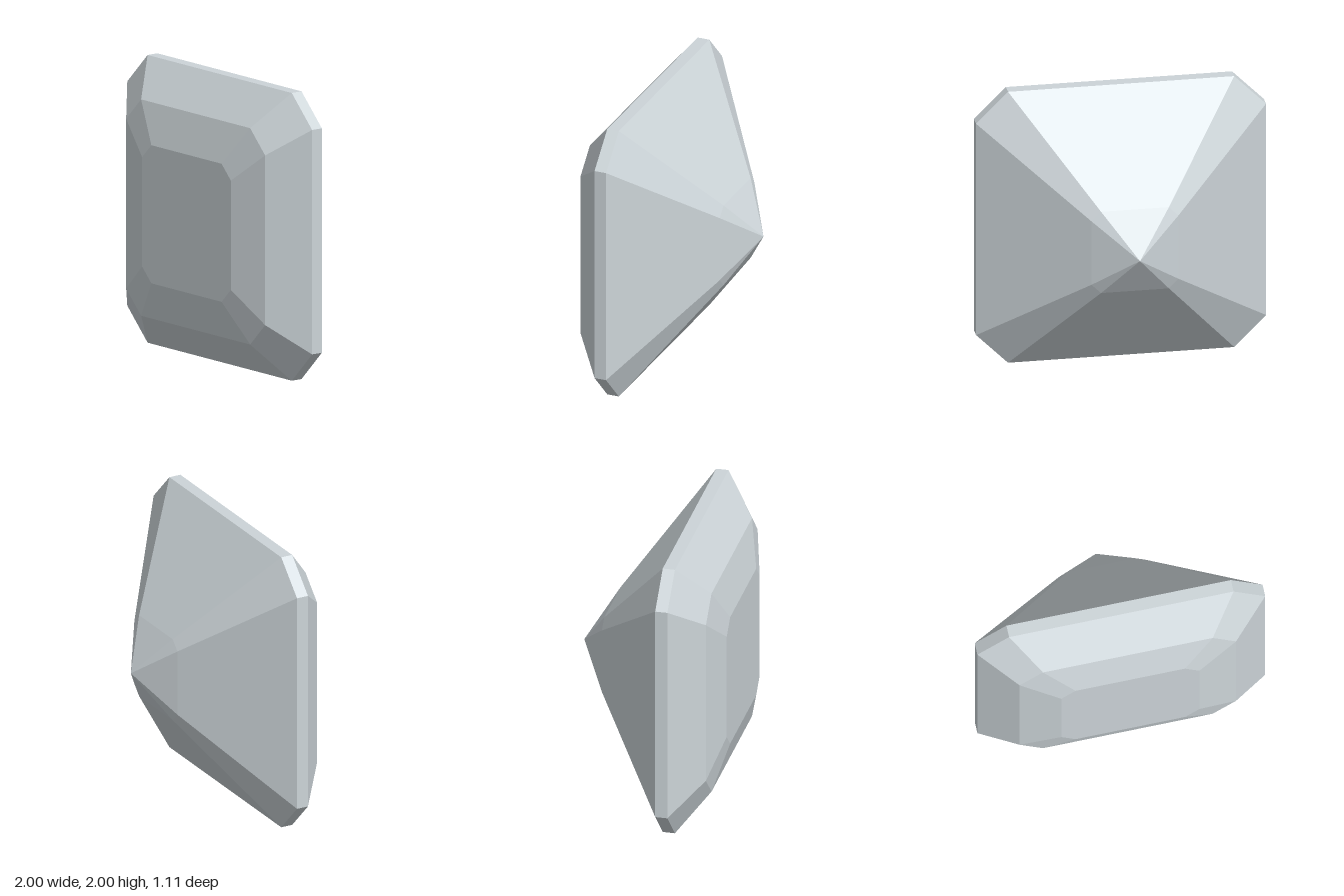
import * as THREE from 'three';

// Corner-cut rectangle lying across z: half size h, uncut half lengths cx (top edge) and cy (side edge)
function ring(h, cx, cy, z) {
  return [[h, -cy], [h, cy], [cx, h], [-cx, h], [-h, cy], [-h, -cy], [-cx, -h], [cx, -h]]
    .map(([x, y]) => new THREE.Vector3(x, y + 1, z));
}

// Flat facets between consecutive rings, running from back to front
function facets(rings) {
  const pos = [];
  const tri = (...pts) => pts.forEach((p) => pos.push(p.x, p.y, p.z));
  for (let r = 0; r < rings.length - 1; r++) {
    const a = rings[r], b = rings[r + 1];
    for (let i = 0; i < 8; i++) {
      const j = (i + 1) % 8;
      if (a[i].distanceTo(a[j]) > 1e-6) tri(a[i], a[j], b[j]);
      if (b[i].distanceTo(b[j]) > 1e-6) tri(a[i], b[j], b[i]);
    }
  }
  const g = new THREE.BufferGeometry();
  g.setAttribute('position', new THREE.Float32BufferAttribute(pos, 3));
  g.computeVertexNormals();
  return g;
}

export function createModel() {
  const group = new THREE.Group();
  group.name = 'cutGem';
  const crystal = new THREE.MeshStandardMaterial({ color: 0xccd4d8 });
  crystal.name = 'pale crystal';

  const point = ring(0, 0, 0, -0.555);
  const lowerBreak = ring(0.3, 0.234, 0.234, -0.36);
  const girdleBack = ring(1, 0.78, 0.78, 0.18);
  const girdleFront = ring(1, 0.78, 0.78, 0.265);
  const crownBreak = ring(0.752, 0.59, 0.59, 0.475);
  const tableEdge = ring(0.48, 0.38, 0.38, 0.555);
  const tableCentre = ring(0, 0, 0, 0.555);

  const parts = {
    pavilion: [point, lowerBreak, girdleBack], // pointed back
    girdle: [girdleBack, girdleFront], // thin rim
    crown: [girdleFront, crownBreak, tableEdge], // stepped bevels
    table: [tableEdge, tableCentre], // flat front facet
  };
  for (const [name, rings] of Object.entries(parts)) {
    const mesh = new THREE.Mesh(facets(rings), crystal);
    mesh.name = name;
    group.add(mesh);
  }
  return group;
}
